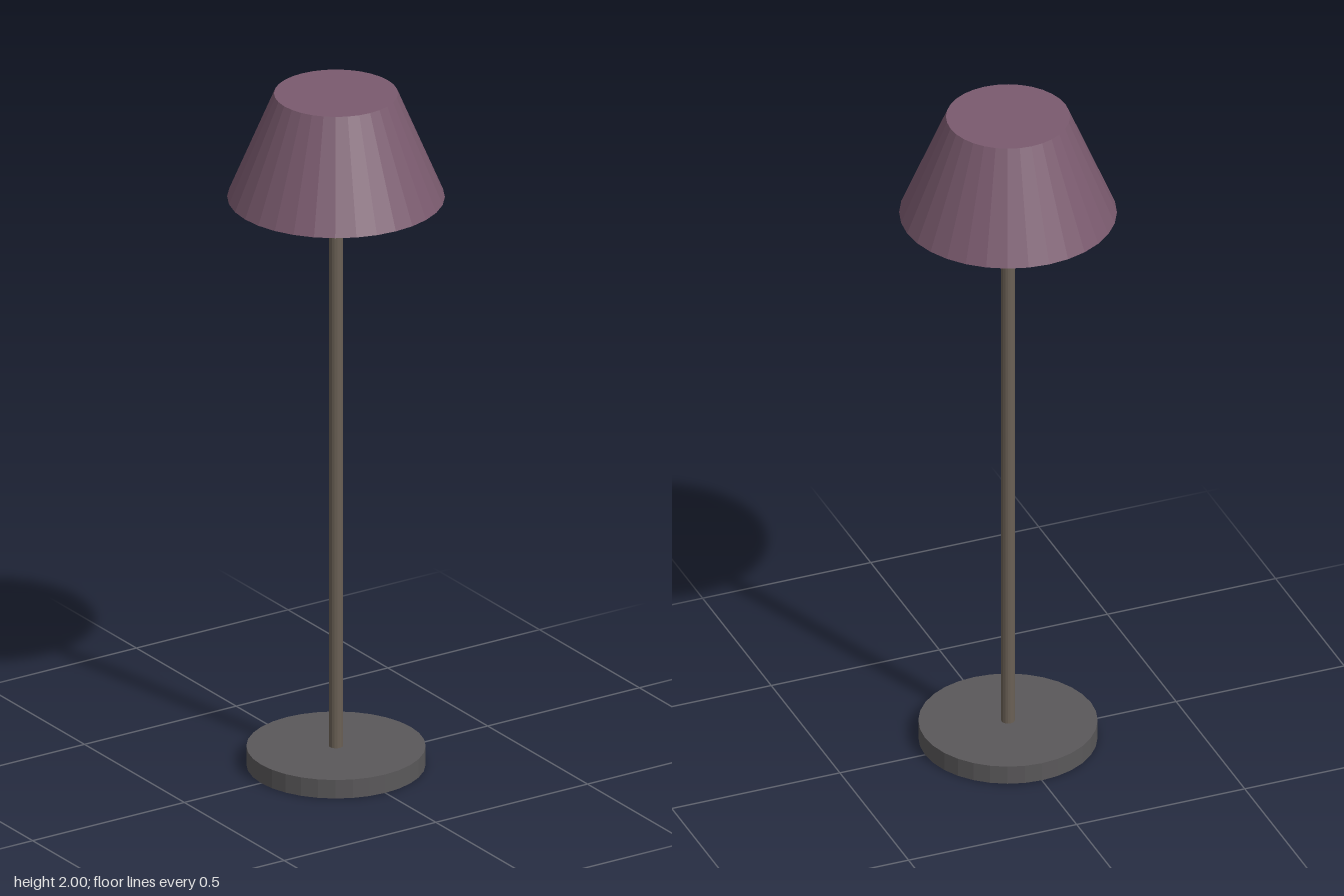
import * as THREE from 'three';

// Vertical turned part standing on height y0
function turned(name, rTop, rBottom, y0, y1, sides, color) {
  const geometry = new THREE.CylinderGeometry(rTop, rBottom, y1 - y0, sides);
  const material = new THREE.MeshStandardMaterial({ color, flatShading: true });
  const mesh = new THREE.Mesh(geometry, material);
  mesh.name = name;
  mesh.position.y = (y0 + y1) / 2;
  return mesh;
}

// Shade: sloping wall with a closed top and an open underside
function makeShade(rTop, rBottom, y0, y1, sides, color) {
  const material = new THREE.MeshStandardMaterial({ color, flatShading: true, side: THREE.DoubleSide });
  const shade = new THREE.Group();
  shade.name = 'lampShade';

  const wall = new THREE.Mesh(
    new THREE.CylinderGeometry(rTop, rBottom, y1 - y0, sides, 1, true), material);
  wall.name = 'shadeWall';
  wall.position.y = (y0 + y1) / 2;

  const top = new THREE.Mesh(new THREE.CircleGeometry(rTop, sides), material);
  top.name = 'shadeTop';
  top.rotation.x = -Math.PI / 2;
  top.position.y = y1;

  shade.add(wall, top);
  return shade;
}

export function createModel() {
  const lamp = new THREE.Group();
  lamp.name = 'floorLamp';
  lamp.add(
    turned('base', 0.247, 0.247, 0, 0.055, 32, 0x5a585a),
    turned('pole', 0.019, 0.019, 0.05, 1.98, 16, 0x6a6055),
    makeShade(0.171, 0.3, 1.692, 2, 32, 0x7a5a6e)
  );
  return lamp;
}
